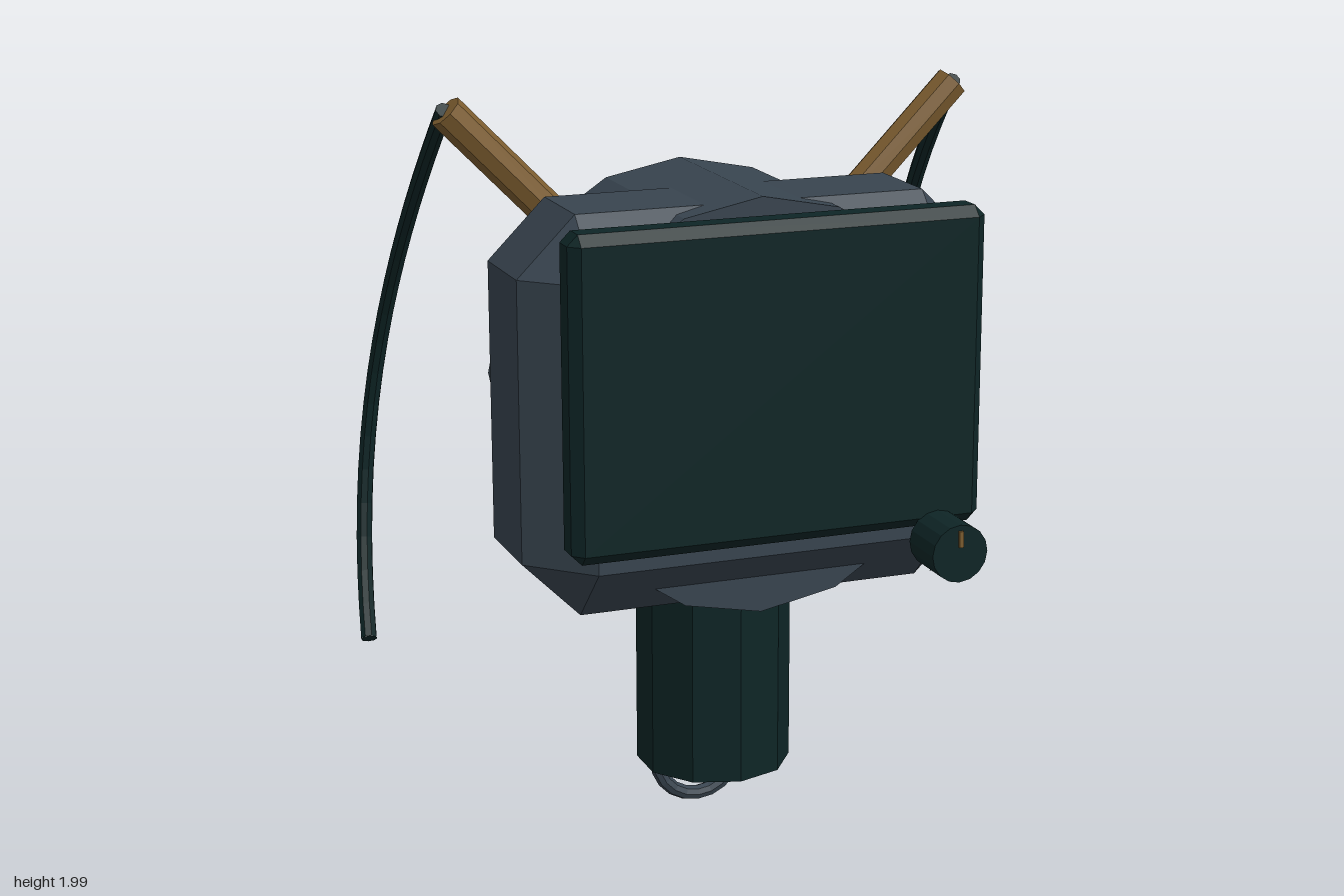
import * as THREE from 'three';
import { ConvexGeometry } from 'three/addons/geometries/ConvexGeometry.js';

const paint = (name, color) => {
  const m = new THREE.MeshStandardMaterial({ color });
  m.name = name;
  return m;
};

// Faceted copy of a geometry
function faceted(geometry) {
  const g = geometry.index ? geometry.toNonIndexed() : geometry;
  g.computeVertexNormals();
  return g;
}

// Box with every edge and corner cut at 45 degrees
function chamferBox(w, h, d, c) {
  const points = [];
  for (const x of [-w / 2, w / 2])
    for (const y of [-h / 2, h / 2])
      for (const z of [-d / 2, d / 2]) {
        const ix = x - Math.sign(x) * c, iy = y - Math.sign(y) * c, iz = z - Math.sign(z) * c;
        points.push(
          new THREE.Vector3(x, iy, iz),
          new THREE.Vector3(ix, y, iz),
          new THREE.Vector3(ix, iy, z));
      }
  return new ConvexGeometry(points);
}

export function createModel() {
  const model = new THREE.Group();
  model.name = 'device';
  const grey = paint('slate grey', 0x38444f);
  const green = paint('dark green', 0x0e2526);
  const brass = paint('brass', 0x7c5d30);

  const add = (name, geometry, material, x = 0, y = 0, z = 0, parent = model) => {
    const mesh = new THREE.Mesh(faceted(geometry), material);
    mesh.name = name;
    mesh.position.set(x, y, z);
    parent.add(mesh);
    return mesh;
  };

  // Housing with a drum passing through its back
  add('housing', chamferBox(1.22, 1.02, 0.54, 0.15), grey, 0, 1.24, 0.14);
  add('drum', new THREE.CylinderGeometry(0.535, 0.535, 0.585, 16).rotateX(Math.PI / 2), grey, 0, 1.24, 0.0375);

  // Front screen
  add('screen', chamferBox(1.085, 0.815, 0.11, 0.027), green, 0, 1.333, 0.42);

  // Control knob on its stem, with a pointer mark
  add('knobStem', new THREE.CylinderGeometry(0.025, 0.025, 0.2, 10).rotateX(Math.PI / 2), grey, 0.42, 0.895, 0.39);
  add('knob', new THREE.CylinderGeometry(0.075, 0.075, 0.137, 16).rotateX(Math.PI / 2), green, 0.42, 0.895, 0.541);
  add('knobPointer', new THREE.BoxGeometry(0.011, 0.042, 0.009), brass, 0.42, 0.934, 0.613);

  // Grip and lanyard ring
  add('grip', new THREE.CylinderGeometry(0.205, 0.205, 0.62, 10), green, 0, 0.495, -0.012);
  add('lanyardRing', new THREE.TorusGeometry(0.117, 0.02, 8, 20), grey, 0, 0.142, -0.137);

  // Antenna posts with trailing cables
  for (const side of [1, -1]) {
    const antenna = new THREE.Group();
    antenna.name = side > 0 ? 'leftAntenna' : 'rightAntenna';
    model.add(antenna);

    const base = new THREE.Vector3(side * 0.34, 1.61, -0.055);
    const tip = new THREE.Vector3(side * 0.687, 1.965, -0.055);
    const axis = tip.clone().sub(base);
    const post = add('antennaPost', new THREE.CylinderGeometry(0.046, 0.046, axis.length(), 8), brass, 0, 0, 0, antenna);
    post.position.copy(base).add(tip).multiplyScalar(0.5);
    post.quaternion.setFromUnitVectors(new THREE.Vector3(0, 1, 0), axis.normalize());

    const path = new THREE.QuadraticBezierCurve3(
      new THREE.Vector3(side * 0.69, 1.968, -0.055),
      new THREE.Vector3(side * 0.755, 1.12, -0.91),
      new THREE.Vector3(side * 0.843, 0.495, -0.4));
    add('cable', new THREE.TubeGeometry(path, 18, 0.022, 8), green, 0, 0, 0, antenna);
    for (const t of [0, 1]) {
      const cap = add('cableEnd', new THREE.CircleGeometry(0.022, 8), green, 0, 0, 0, antenna);
      cap.position.copy(path.getPoint(t));
      const out = path.getTangent(t).multiplyScalar(t ? 1 : -1);
      cap.quaternion.setFromUnitVectors(new THREE.Vector3(0, 0, 1), out);
    }
  }
  return model;
}
